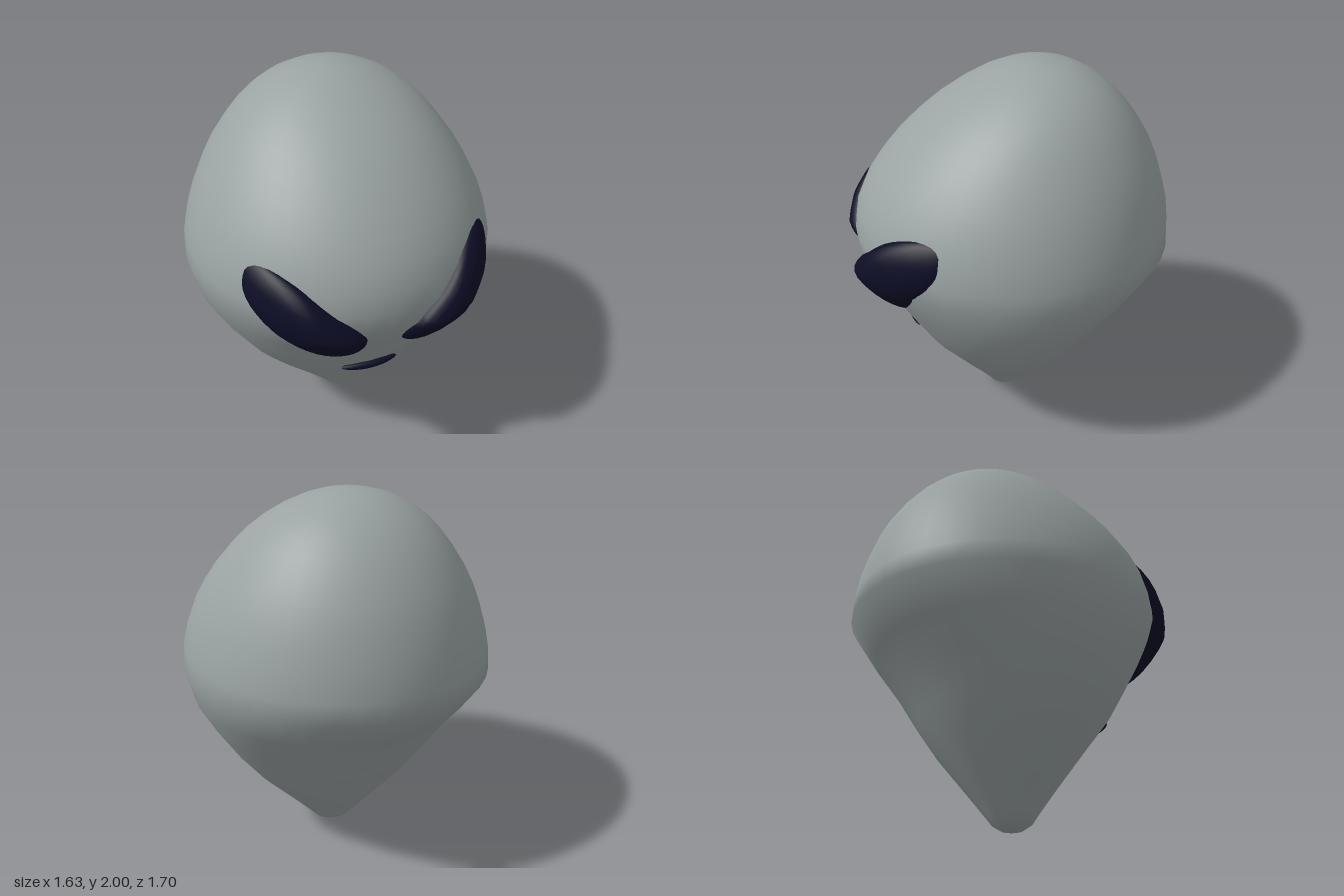
import * as THREE from 'three';

// Head cross-sections, bottom to top: [y, half width, front z, back z]
const ROWS = [
  [0, 0.001, 0.04, 0.038], [0, 0.06, 0.095, -0.015], [0.03, 0.115, 0.14, -0.06],
  [0.07, 0.15, 0.165, -0.09], [0.2, 0.265, 0.255, -0.19], [0.4, 0.45, 0.4, -0.345],
  [0.57, 0.58, 0.53, -0.46], [0.73, 0.68, 0.62, -0.56], [0.9, 0.77, 0.715, -0.7],
  [1.07, 0.813, 0.815, -0.842], [1.18, 0.805, 0.82, -0.835], [1.29, 0.777, 0.8, -0.82],
  [1.4, 0.738, 0.75, -0.79], [1.5, 0.69, 0.68, -0.757], [1.6, 0.632, 0.595, -0.712],
  [1.7, 0.56, 0.49, -0.65], [1.78, 0.492, 0.39, -0.59], [1.85, 0.417, 0.285, -0.522],
  [1.91, 0.332, 0.18, -0.447], [1.96, 0.228, 0.07, -0.355], [1.985, 0.14, -0.01, -0.28],
  [1.996, 0.07, -0.075, -0.2], [2, 0.001, -0.134, -0.136],
];

// Height of the face surface (front half) at a point seen from the front
function faceZ(x, y) {
  let i = 1;
  while (i < ROWS.length - 2 && ROWS[i + 1][0] < y) i++;
  const a = ROWS[i], b = ROWS[i + 1], t = (y - a[0]) / (b[0] - a[0]);
  const [w, f, k] = [1, 2, 3].map((n) => a[n] + (b[n] - a[n]) * t);
  return (f + k) / 2 + ((f - k) / 2) * Math.sqrt(Math.max(0, 1 - (x / w) ** 2));
}

// Skin closed rings of equal length into a smooth surface
function loft(rings, flip = false) {
  const n = rings[0].length, index = [];
  for (let i = 0; i < rings.length - 1; i++) {
    for (let j = 0; j < n; j++) {
      const a = i * n + j, b = i * n + ((j + 1) % n), c = a + n, d = b + n;
      if (flip) index.push(a, b, c, b, d, c);
      else index.push(a, c, b, b, c, d);
    }
  }
  const geo = new THREE.BufferGeometry();
  geo.setAttribute('position', new THREE.Float32BufferAttribute(rings.flat(2), 3));
  geo.setIndex(index);
  geo.computeVertexNormals();
  return geo;
}

function headGeometry() {
  const SEG = 40;
  return loft(ROWS.map(([y, w, f, k]) => Array.from({ length: SEG }, (_, j) => {
    const a = (j / SEG) * Math.PI * 2;
    return [w * Math.cos(a), y, (f + k) / 2 + ((f - k) / 2) * Math.sin(a)];
  })));
}

// Slanted almond outline of the left eye, clockwise from the top
const EYE = [
  [0.54, 1.374], [0.6, 1.342], [0.628, 1.263], [0.617, 1.183], [0.565, 1.093], [0.46, 0.97],
  [0.327, 0.865], [0.222, 0.833], [0.142, 0.843], [0.1, 0.897], [0.095, 0.97], [0.127, 1.056],
  [0.195, 1.13], [0.3, 1.22], [0.38, 1.3], [0.46, 1.353],
];

// Domed eye that follows the curve of the face
function eyeGeometry(side) {
  const curve = new THREE.CatmullRomCurve3(EYE.map(([x, y]) => new THREE.Vector3(x, y, 0)), true);
  const outline = curve.getPoints(40).slice(0, 40);
  const [cx, cy] = [0.365, 1.1];
  const radii = [1, 0.985, 0.94, 0.85, 0.7, 0.5, 0.25, 0.002];
  const rings = radii.map((r) => outline.map((p) => {
    const x = cx + (p.x - cx) * r, y = cy + (p.y - cy) * r;
    return [side * x, y, faceZ(x, y) - 0.015 + 0.105 * Math.sqrt(1 - r * r)];
  }));
  return loft(rings, side < 0);
}

// Thin lens-shaped mouth, bent around the face
function mouthGeometry() {
  const geo = new THREE.SphereGeometry(1, 24, 12).scale(0.155, 0.022, 0.024);
  const pos = geo.attributes.position;
  for (let i = 0; i < pos.count; i++) {
    pos.setZ(i, pos.getZ(i) + faceZ(pos.getX(i), 0.6) + 0.012);
  }
  geo.translate(0, 0.6, 0);
  geo.computeVertexNormals();
  return geo;
}

export function createModel() {
  const skin = new THREE.MeshStandardMaterial({ color: 0x9aa2a2 });
  skin.name = 'grey skin';
  const dark = new THREE.MeshStandardMaterial({ color: 0x0d0d26 });
  dark.name = 'midnight blue';

  const model = new THREE.Group();
  model.name = 'alienHead';
  const add = (name, geo, mat) => {
    const mesh = new THREE.Mesh(geo, mat);
    mesh.name = name;
    model.add(mesh);
  };
  add('head', headGeometry(), skin);
  add('leftEye', eyeGeometry(1), dark);
  add('rightEye', eyeGeometry(-1), dark);
  add('mouth', mouthGeometry(), dark);
  return model;
}
